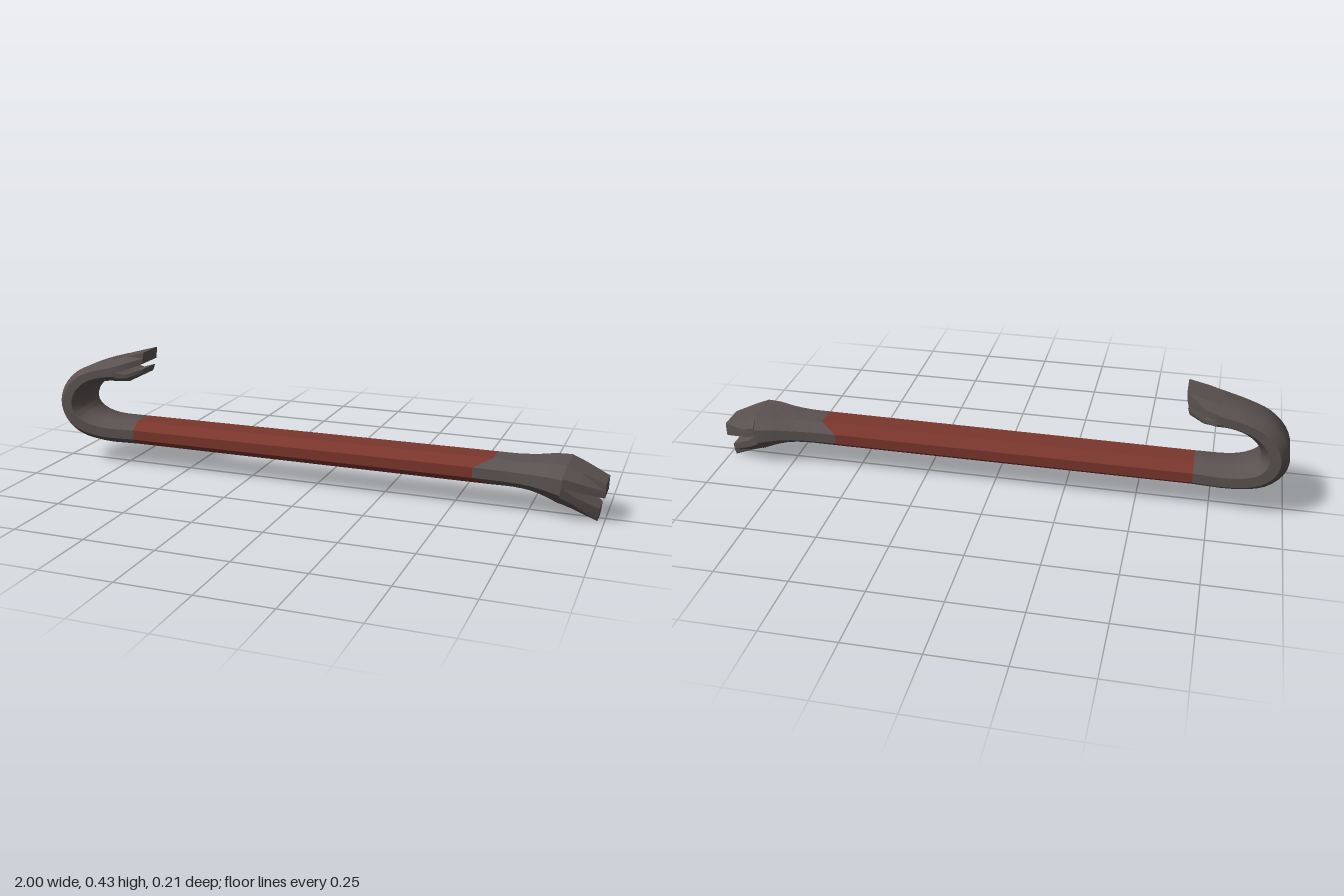
import * as THREE from 'three';
import { toCreasedNormals } from 'three/addons/utils/BufferGeometryUtils.js';

// Half-profiles: [width fraction (null = chamfer fraction), position from edge a to edge b]
const FULL = [[null, 0], [1, 0.3], [1, 0.7], [null, 1]];
const NEAR_HALF = [[null, 0], [1, 0.5], [1, 1]];
const FAR_HALF = [[1, 0], [1, 0.5], [null, 1]];

// Lofts mirrored sections. Station: [ax, ay, bx, by, half width, chamfer fraction]
function loft(stations, { profile = FULL, steps = 1, crease = 0.5, dipStart = 0, dipEnd = 0 } = {}) {
  const A = new THREE.CatmullRomCurve3(stations.map(s => new THREE.Vector3(s[0], s[1], s[4])));
  const B = new THREE.CatmullRomCurve3(stations.map(s => new THREE.Vector3(s[2], s[3], s[5])));
  const section = [
    ...profile.map(([f, t]) => [f, t, 1]),
    ...[...profile].reverse().map(([f, t]) => [f, t, -1]),
  ];
  const n = section.length, rings = (stations.length - 1) * steps;
  const pos = [], index = [];
  for (let i = 0; i <= rings; i++) {
    const a = A.getPoint(i / rings), b = B.getPoint(i / rings);
    const dip = i === 0 ? dipStart : i === rings ? dipEnd : 0;
    for (const [f, t, side] of section) {
      const x = a.x + (b.x - a.x) * t - (f === 1 ? dip : 0);
      pos.push(x, a.y + (b.y - a.y) * t, side * a.z * (f ?? b.z));
    }
  }
  for (let i = 0; i < rings; i++) {
    for (let j = 0; j < n; j++) {
      const p = i * n + j, q = i * n + (j + 1) % n;
      index.push(p, q, q + n, p, q + n, p + n);
    }
  }
  const last = rings * n;
  for (let j = 1; j < n - 1; j++) {
    index.push(0, j + 1, j, last, last + j, last + j + 1);
  }
  const geo = new THREE.BufferGeometry();
  geo.setAttribute('position', new THREE.Float32BufferAttribute(pos, 3));
  geo.setIndex(index);
  return toCreasedNormals(geo, crease);
}

export function createModel() {
  const steel = new THREE.MeshStandardMaterial({ color: 0x5a5250 });
  steel.name = 'dark steel';
  const paint = new THREE.MeshStandardMaterial({ color: 0x7a362d });
  paint.name = 'red paint';

  const model = new THREE.Group();
  model.name = 'pryBar';
  const add = (name, material, stations, options) => {
    const mesh = new THREE.Mesh(loft(stations, options), material);
    mesh.name = name;
    model.add(mesh);
  };

  // Painted octagonal shaft, a = top edge, b = bottom edge
  add('shaft', paint, [
    [-0.69, 0.172, -0.69, 0.085, 0.077, 0.52],
    [0.63, 0.178, 0.63, 0.087, 0.078, 0.52],
  ], { dipEnd: 0.06 });

  // Bent hook, a = outer edge, b = inner edge
  add('hook', steel, [
    [-0.69, 0.085, -0.69, 0.172, 0.077, 0.52],
    [-0.83, 0.086, -0.81, 0.172, 0.084, 0.55],
    [-0.93, 0.112, -0.875, 0.188, 0.09, 0.6],
    [-0.985, 0.165, -0.9, 0.208, 0.093, 0.6],
    [-1.0, 0.225, -0.906, 0.233, 0.093, 0.6],
    [-0.98, 0.287, -0.893, 0.268, 0.092, 0.6],
    [-0.925, 0.344, -0.855, 0.3, 0.091, 0.6],
    [-0.85, 0.377, -0.8, 0.318, 0.091, 0.6],
    [-0.765, 0.402, -0.745, 0.322, 0.091, 0.62],
  ], { steps: 3, crease: 0.75 });

  // Two claws at the hook tip
  add('hookOuterClaw', steel, [
    [-0.767, 0.401, -0.757, 0.356, 0.091, 0.62],
    [-0.715, 0.416, -0.705, 0.373, 0.085, 0.68],
    [-0.648, 0.435, -0.653, 0.393, 0.053, 0.95],
  ], { profile: NEAR_HALF });
  add('hookInnerClaw', steel, [
    [-0.757, 0.358, -0.747, 0.322, 0.088, 0.62],
    [-0.715, 0.351, -0.71, 0.324, 0.07, 0.68],
    [-0.655, 0.372, -0.662, 0.348, 0.045, 0.9],
  ], { profile: FAR_HALF });

  // Flared head, a = top edge, b = bottom edge
  add('head', steel, [
    [0.63, 0.178, 0.63, 0.087, 0.078, 0.52],
    [0.7, 0.177, 0.7, 0.089, 0.083, 0.54],
    [0.77, 0.181, 0.76, 0.085, 0.092, 0.56],
    [0.82, 0.187, 0.81, 0.073, 0.1, 0.6],
    [0.875, 0.187, 0.855, 0.057, 0.104, 0.64],
  ], { steps: 2, crease: 0.6, dipStart: 0.06 });

  // Two claws at the head
  add('headUpperClaw', steel, [
    [0.873, 0.187, 0.863, 0.122, 0.104, 0.64],
    [0.92, 0.169, 0.915, 0.108, 0.088, 0.7],
    [1.0, 0.134, 0.998, 0.087, 0.051, 0.95],
  ], { profile: NEAR_HALF });
  add('headLowerClaw', steel, [
    [0.863, 0.124, 0.853, 0.058, 0.102, 0.62],
    [0.905, 0.09, 0.895, 0.041, 0.083, 0.65],
    [0.983, 0.046, 0.978, 0.001, 0.04, 0.85],
  ], { profile: FAR_HALF });

  return model;
}
